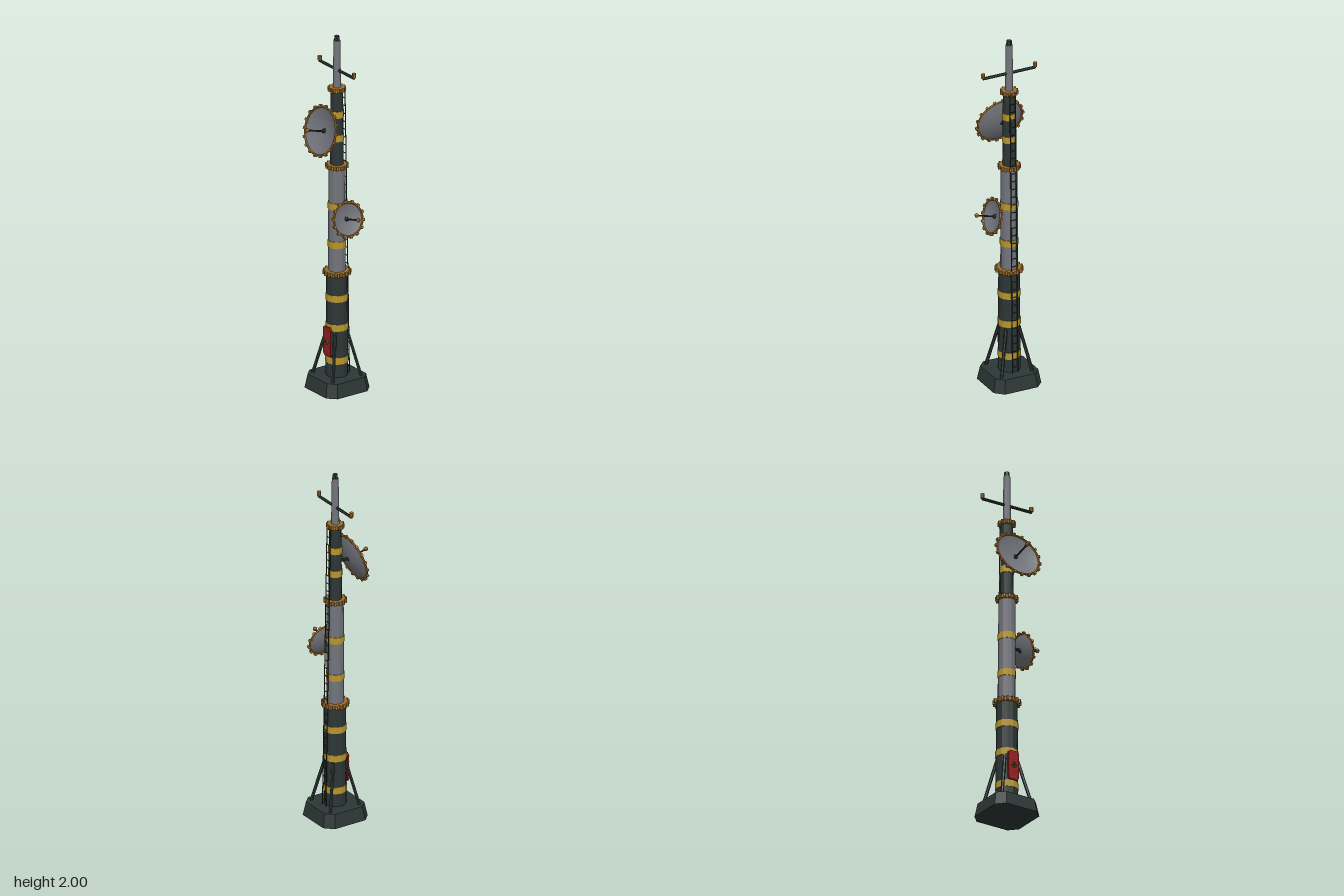
import * as THREE from 'three';

const mat = (name, color) => Object.assign(new THREE.MeshStandardMaterial({ color, flatShading: true }), { name });

export function createModel() {
  const model = new THREE.Group();
  model.name = 'signalMast';
  const dark = mat('dark green steel', 0x2c3735);
  const grey = mat('grey steel', 0x72757c);
  const brass = mat('brass', 0xa06e2c);
  const yellow = mat('yellow paint', 0xb8952c);
  const red = mat('red paint', 0x981f24);
  grey.side = THREE.DoubleSide;

  // Everything is placed around the mast axis
  const mast = new THREE.Group();
  mast.name = 'mast';
  mast.position.set(-0.022, 0, -0.034);
  model.add(mast);

  const add = (parent, name, geo, material, x = 0, y = 0, z = 0) => {
    const m = new THREE.Mesh(geo, material);
    m.name = name;
    m.position.set(x, y, z);
    parent.add(m);
    return m;
  };
  const rod = (parent, name, a, b, r, material, sides = 6) => {
    const p = new THREE.Vector3(...a), q = new THREE.Vector3(...b);
    const m = add(parent, name, new THREE.CylinderGeometry(r, r, p.distanceTo(q), sides), material);
    m.position.copy(p).add(q).multiplyScalar(0.5);
    m.quaternion.setFromUnitVectors(new THREE.Vector3(0, 1, 0), q.sub(p).normalize());
    return m;
  };
  // Square or rectangle with cut corners
  const cutRect = (w, h, c) => new THREE.Shape([
    [-w + c, -h], [w - c, -h], [w, -h + c], [w, h - c], [w - c, h], [-w + c, h], [-w, h - c], [-w, -h + c],
  ].map(p => new THREE.Vector2(...p)));

  // Tapered base block
  const baseGeo = new THREE.ExtrudeGeometry(cutRect(0.141, 0.141, 0.044), { depth: 0.077, bevelEnabled: false });
  baseGeo.rotateX(-Math.PI / 2);
  const pos = baseGeo.attributes.position;
  for (let i = 0; i < pos.count; i++) {
    const s = pos.getY(i) > 0.04 ? 0.9 : 1;
    pos.setX(i, pos.getX(i) * s);
    pos.setZ(i, pos.getZ(i) * s);
  }
  baseGeo.computeVertexNormals();
  add(mast, 'base', baseGeo, dark);

  // Mast sections: bottom, top, radii, material
  const sections = [
    [0.07, 0.66, 0.06, 0.057, dark], [0.66, 1.26, 0.047, 0.045, grey],
    [1.26, 1.7, 0.036, 0.033, dark], [1.7, 1.975, 0.022, 0.018, grey],
  ];
  sections.forEach(([y0, y1, r0, r1, m], i) =>
    add(mast, 'mastSection' + (i + 1), new THREE.CylinderGeometry(r1, r0, y1 - y0, 12), m, 0, (y0 + y1) / 2));
  add(mast, 'tipCap', new THREE.CylinderGeometry(0.014, 0.016, 0.03, 6), dark, 0, 1.985);

  // Painted bands
  for (const [y, r] of [[0.17, 0.0625], [0.357, 0.0615], [0.522, 0.0605], [0.823, 0.0495], [1.04, 0.0485], [1.427, 0.0385], [1.56, 0.0375]])
    add(mast, 'yellowBand', new THREE.CylinderGeometry(r, r, 0.038, 12), yellow, 0, y);

  // Toothed collars
  const gear = (y, r, teeth) => {
    const pts = [];
    for (let i = 0; i < teeth; i++)
      for (const [t, k] of [[0, 0.85], [0.45, 0.85], [0.55, 1], [0.9, 1]]) {
        const a = (i + t) / teeth * Math.PI * 2;
        pts.push(new THREE.Vector2(Math.cos(a) * r * k, Math.sin(a) * r * k));
      }
    const g = new THREE.ExtrudeGeometry(new THREE.Shape(pts), { depth: 0.022, bevelEnabled: false });
    g.rotateX(-Math.PI / 2);
    add(mast, 'gearCollar', g, brass, 0, y - 0.011);
  };
  gear(0.66, 0.076, 16);
  gear(1.263, 0.062, 14);
  gear(1.7, 0.049, 12);

  // Diagonal base struts
  for (const sx of [-1, 1]) for (const sz of [-1, 1])
    rod(mast, 'baseStrut', [sx * 0.092, 0.07, sz * 0.092], [sx * 0.038, 0.33, sz * 0.038], 0.009, dark);

  // Red hatch with rivets and hand wheel
  const hatch = new THREE.Group();
  hatch.name = 'hatch';
  hatch.position.set(0, 0.275, 0.056);
  mast.add(hatch);
  add(hatch, 'hatchPanel', new THREE.ExtrudeGeometry(cutRect(0.034, 0.083, 0.012), { depth: 0.01, bevelEnabled: false }), red);
  for (const sx of [-1, 1]) for (let i = 0; i < 5; i++)
    add(hatch, 'rivet', new THREE.BoxGeometry(0.006, 0.006, 0.006), brass, sx * 0.027, -0.064 + i * 0.032, 0.011);
  for (const y of [-0.075, 0.075])
    add(hatch, 'rivet', new THREE.BoxGeometry(0.006, 0.006, 0.006), brass, 0, y, 0.011);
  add(hatch, 'handWheel', new THREE.TorusGeometry(0.013, 0.004, 6, 10), brass, 0, 0, 0.015);
  rod(hatch, 'wheelHub', [0, 0, 0.008], [0, 0, 0.02], 0.006, dark);

  // Dish with toothed rim, feed rod and support arm; faces +z before turning
  const dish = (name, y, turn, dist, R, depth, feed, teeth, mastR) => {
    const side = new THREE.Group();
    side.name = name;
    side.position.y = y;
    side.rotation.y = turn;
    mast.add(side);
    rod(side, 'dishArm', [0, 0, mastR * 0.8], [0, 0, dist - depth * 0.7], 0.008, dark, 8);
    const head = new THREE.Group();
    head.name = 'dishHead';
    head.position.z = dist;
    head.rotation.x = -0.275;
    side.add(head);
    const profile = [];
    for (let i = 0; i <= 6; i++) profile.push(new THREE.Vector2(R * i / 6, depth * ((i / 6) ** 2 - 1)));
    const bowl = new THREE.LatheGeometry(profile, 24);
    bowl.rotateX(Math.PI / 2);
    add(head, 'dishBowl', bowl, grey);
    add(head, 'dishRim', new THREE.TorusGeometry(R, 0.006, 6, 32), brass);
    for (let i = 0; i < teeth; i++) {
      const a = (i + 0.5) / teeth * Math.PI * 2;
      const t = add(head, 'rimTooth', new THREE.BoxGeometry(0.014, 0.014, 0.014), brass,
        Math.cos(a) * (R + 0.005), Math.sin(a) * (R + 0.005), 0);
      t.rotation.z = a;
    }
    add(head, 'feedHub', new THREE.SphereGeometry(0.011, 8, 6), dark, 0, 0, -depth + 0.004);
    rod(head, 'feedRod', [0, 0, -depth], [0, 0, feed], 0.005, dark);
    add(head, 'feedTip', new THREE.SphereGeometry(0.012, 8, 6), brass, 0, 0, feed);
  };
  dish('frontDish', 1.483, 0, 0.107, 0.13, 0.027, 0.091, 18, 0.034);
  dish('sideDish', 0.988, Math.PI / 2, 0.102, 0.091, 0.02, 0.093, 14, 0.046);

  // Cross arm with end insulators
  rod(mast, 'crossArm', [-0.155, 1.808, 0], [0.155, 1.808, 0], 0.008, dark);
  for (const s of [-1, 1])
    add(mast, 'armInsulator', new THREE.CylinderGeometry(0.0115, 0.0115, 0.024, 8), brass, s * 0.154, 1.824, 0);

  // Rear ladder leaning along the mast
  const ladderZ = y => -0.07 + 0.029 * (y - 0.08) / 1.62;
  for (const s of [-1, 1])
    rod(mast, 'ladderRail', [s * 0.016, 0.07, ladderZ(0.07)], [s * 0.016, 1.7, ladderZ(1.7)], 0.003, dark);
  for (let y = 0.11; y < 1.69; y += 0.045)
    rod(mast, 'ladderRung', [-0.016, y, ladderZ(y)], [0.016, y, ladderZ(y)], 0.0025, dark, 5);

  return model;
}
